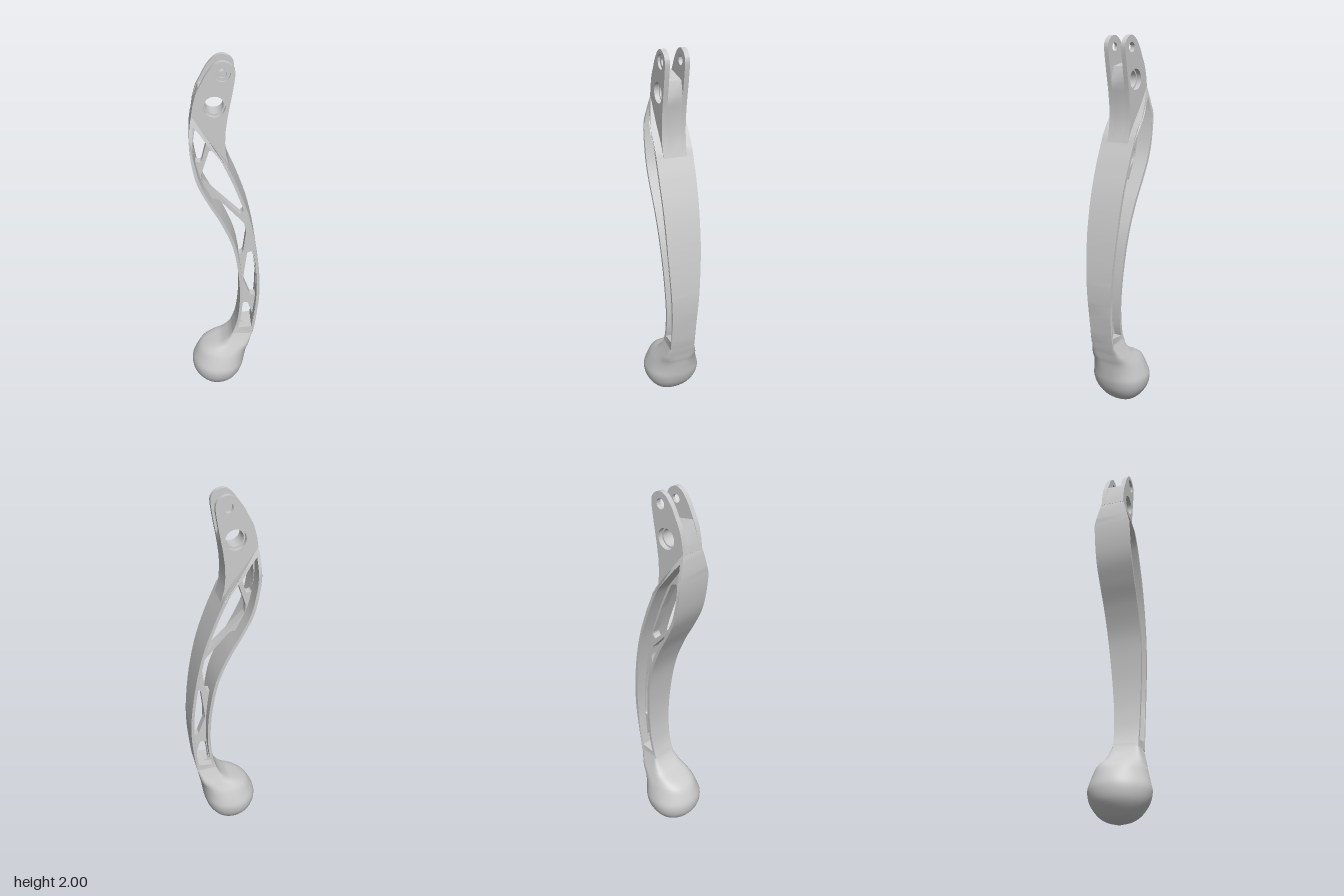
import * as THREE from 'three';
import { mergeVertices, toCreasedNormals } from 'three/addons/utils/BufferGeometryUtils.js';

const V = (x, y) => new THREE.Vector2(x, y);
const path = (pts) => pts.map(([x, y]) => V(x, y));
const material = new THREE.MeshStandardMaterial({ color: 0xcccccc });

// Side edges of the lever arm, bottom to top, and the slanted edge under the fork
const leftEdge = new THREE.SplineCurve(path([
  [.04, .40], [.058, .45], [.072, .52], [.081, .65], [.073, .81], [.042, 1.0], [-.018, 1.155],
  [-.085, 1.28], [-.137, 1.39], [-.163, 1.5], [-.173, 1.61], [-.166, 1.705], [-.158, 1.74],
])).getSpacedPoints(60);
const rightEdge = new THREE.SplineCurve(path([
  [.155, .40], [.168, .47], [.186, .65], [.184, .81], [.159, 1.02], [.118, 1.21],
  [.063, 1.37], [.021, 1.47], [.01, 1.5],
])).getSpacedPoints(50);
const slantEdge = new THREE.SplineCurve(path([
  [-.155, 1.74], [-.09, 1.64], [-.022, 1.55], [.008, 1.5],
])).getPoints(8);

// Shift a polyline sideways (positive = right of its direction)
function offset(pts, d) {
  return pts.map((p, i) => {
    const t = pts[Math.min(i + 1, pts.length - 1)].clone().sub(pts[Math.max(i - 1, 0)]).normalize();
    return V(p.x + t.y * d, p.y - t.x * d);
  });
}

// Arm outline, inset by d
function armOutline(d) {
  const above = (p) => p.y > .399 + 2 * d;
  const left = offset(leftEdge, d).filter((p) => above(p) && p.y < 1.745 - 2.5 * d);
  const slant = offset(slantEdge, d).slice(d > 0 ? 2 : 1, -1);
  const right = offset(rightEdge, -d).filter((p) => above(p) && p.y < 1.505 - 2.5 * d);
  return [...left, ...slant, ...right.reverse()];
}

// Polygon with softened corners
function roundedPath(coords, r = .012) {
  const pts = path(coords), n = pts.length, out = new THREE.Path();
  pts.forEach((p, i) => {
    const toward = (q) => p.clone().lerp(q, Math.min(.45, r / p.distanceTo(q)));
    const a = toward(pts[(i + n - 1) % n]), b = toward(pts[(i + 1) % n]);
    if (i) out.lineTo(a.x, a.y); else out.moveTo(a.x, a.y);
    out.quadraticCurveTo(p.x, p.y, b.x, b.y);
  });
  out.closePath();
  return out;
}

const circle = (x, y, r) => new THREE.Path().absarc(x, y, r, 0, Math.PI * 2, true);

// Flat plate with holes; the outline is made counter-clockwise so hole walls face inward
function slab(name, points, holes, z0, z1, deform) {
  const shape = new THREE.Shape(THREE.ShapeUtils.isClockWise(points) ? [...points].reverse() : points);
  shape.holes.push(...holes);
  const geo = new THREE.ExtrudeGeometry(shape, { depth: z1 - z0, bevelEnabled: false, curveSegments: 16 });
  geo.translate(0, 0, z0);
  if (deform) deform(geo.attributes.position);
  const mesh = new THREE.Mesh(toCreasedNormals(geo, .6), material);
  mesh.name = name;
  return mesh;
}

// Half depth of the arm by height
const depths = [[.40, .07], [.43, .066], [.6, .07], [1.0, .091], [1.35, .098], [1.6, .098], [1.74, .063]];
function halfDepth(y) {
  for (let i = 1; i < depths.length; i++) {
    const [y0, d0] = depths[i - 1], [y1, d1] = depths[i];
    if (y <= y1) return THREE.MathUtils.lerp(d0, d1, Math.max(0, (y - y0) / (y1 - y0)));
  }
  return .063;
}

// Rounded end knob: stacked sections of height, left x, right x, half depth
function knob() {
  const rows = [
    [.42, .047, .158, .065], [.40, .04, .155, .071], [.37, .022, .149, .081], [.345, -.002, .143, .09],
    [.325, -.028, .139, .098], [.305, -.075, .135, .106], [.285, -.115, .13, .115],
    [.257, -.15, .125, .127], [.2, -.18, .116, .146], [.155, -.19, .108, .155],
    [.1, -.18, .088, .143], [.05, -.145, .053, .11], [.018, -.105, .013, .068], [0, -.046, -.044, .001],
  ];
  const curve = (f) => new THREE.CatmullRomCurve3(rows.map(f), false, 'catmullrom');
  const sides = curve(([y, l, r]) => new THREE.Vector3(l, y, r));
  const depth = curve(([y, , , d]) => new THREE.Vector3(d, y, 0));
  const geo = new THREE.CylinderGeometry(1, 1, 1, 64, 52, true);
  const pos = geo.attributes.position, uv = geo.attributes.uv;
  for (let i = 0; i < pos.count; i++) {
    const t = 1 - uv.getY(i), s = sides.getPoint(t), d = depth.getPoint(t);
    // sections blend from boxy at the neck to round at the ball, fuller on the arm's side
    const round = pos.getX(i) > 0 ? .85 : 1;
    const e = THREE.MathUtils.lerp(.12, round, Math.min(1, t * 1.7) ** 1.3);
    const soft = (v) => Math.sign(v) * Math.abs(v) ** e;
    pos.setXYZ(i, (s.x + s.z) / 2 + soft(pos.getX(i)) * (s.z - s.x) / 2, s.y, soft(pos.getZ(i)) * d.x);
  }
  geo.deleteAttribute('uv');
  geo.deleteAttribute('normal');
  const smooth = mergeVertices(geo, 1e-5);
  smooth.computeVertexNormals();
  const mesh = new THREE.Mesh(smooth, material);
  mesh.name = 'endKnob';
  return mesh;
}

export function createModel() {
  const model = new THREE.Group();
  model.name = 'lever';

  // Thin rim around the open pocket, deeper in the middle than at its ends
  const pocket = new THREE.Path(armOutline(.016));
  model.add(slab('armRim', armOutline(0), [pocket], -1, 1, (pos) => {
    for (let i = 0; i < pos.count; i++) {
      const y = pos.getY(i);
      const centre = THREE.MathUtils.mapLinear(y, .4, 1.7, .002, -.007);
      pos.setZ(i, centre + pos.getZ(i) * halfDepth(y));
    }
  }));

  // Web of slanted ribs between the rim walls
  const windows = [
    [[-.145, 1.655], [-.11, 1.66], [-.085, 1.605], [-.115, 1.48], [-.146, 1.485], [-.154, 1.58]],
    [[-.075, 1.545], [-.04, 1.535], [.035, 1.37], [.1, 1.2], [.08, 1.175], [-.113, 1.37], [-.118, 1.41]],
    [[-.064, 1.275], [-.035, 1.27], [.1, 1.12], [.112, 1.06], [.097, .93], [.073, .92], [.039, 1.06], [-.02, 1.19]],
    [[.12, .93], [.149, .94], [.168, .78], [.171, .64], [.14, .64], [.1, .75]],
    [[.1, .585], [.13, .585], [.16, .49], [.15, .436], [.083, .452]],
  ].map((w) => roundedPath(w));
  model.add(slab('ribWeb', armOutline(.007), windows, -.024, .02));

  // Fork: lower outline shared by its core and cheeks, running along the slanted edge
  const fork = new THREE.Group();
  fork.name = 'fork';
  const lower = [
    ...path([[-.152, 1.79], [-.16, 1.735]]),
    ...offset(slantEdge, .007).slice(1),
    ...path([[.0215, 1.47], [.004, 1.54], [0, 1.6], [.002, 1.66], [.011, 1.73], [.02, 1.78]]),
  ];
  // Core between the cheeks, its top forming the slot floor
  const core = [...lower, ...path([[0, 1.85], [-.124, 1.872]])];
  fork.add(slab('forkCore', core, [circle(-.05, 1.785, .044)], -.045, .031));

  // Cheeks with pivot and pin holes, the front pin hole counterbored
  const ear = new THREE.SplineCurve(path([
    [.02, 1.78], [.033, 1.85], [.045, 1.93], [.042, 1.965], [.02, 1.99], [-.015, 2], [-.05, 1.985],
    [-.083, 1.947], [-.112, 1.895], [-.135, 1.85], [-.152, 1.79],
  ])).getPoints(44).slice(1, -1);
  for (const [pin, z0, z1] of [[.025, -.07, -.045], [.021, .031, .044], [.036, .044, .056]]) {
    const holes = [circle(-.05, 1.785, .052), circle(-.013, 1.942, pin)];
    fork.add(slab('forkCheek', [...lower, ...ear], holes, z0, z1));
  }
  model.add(fork, knob());
  return model;
}
